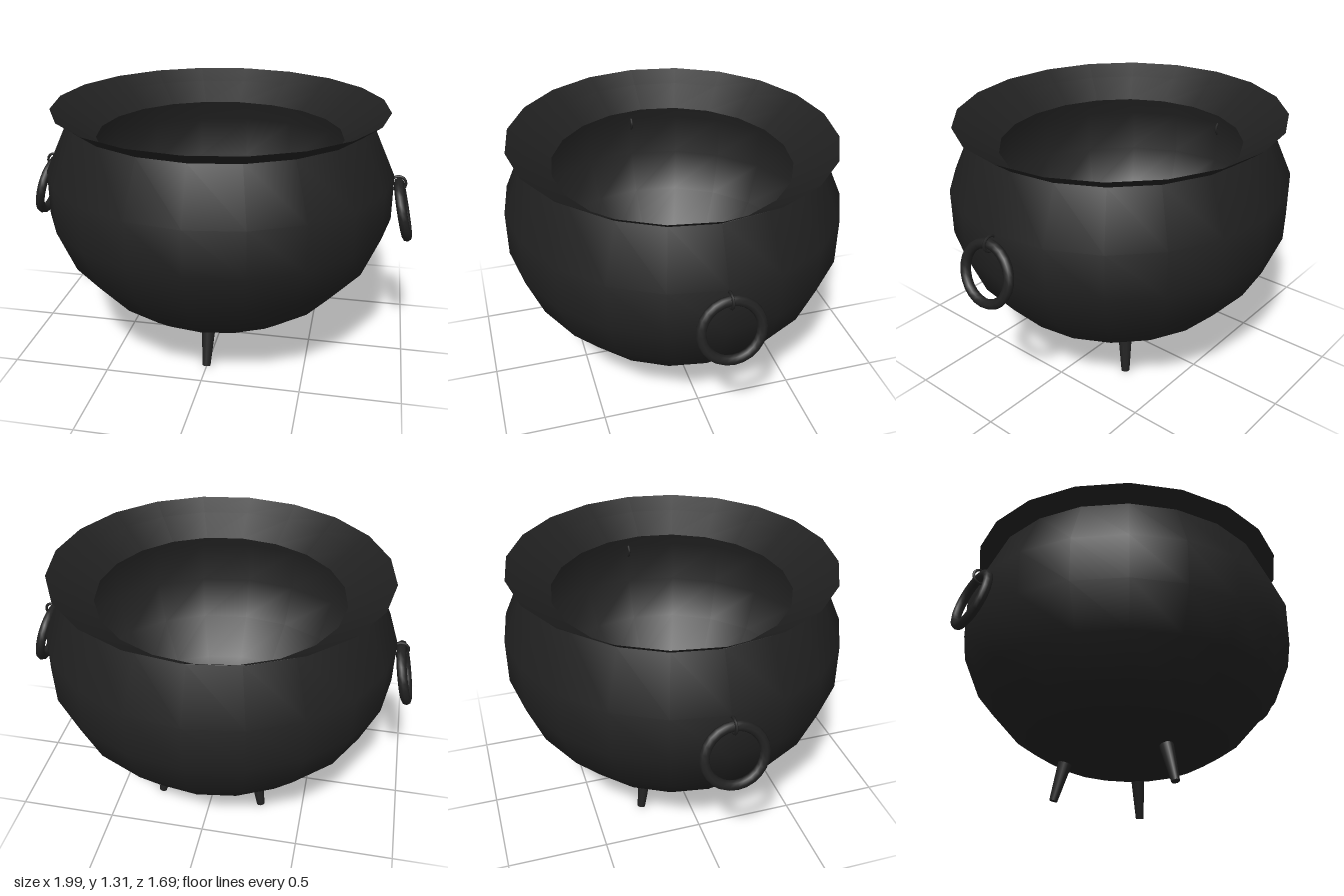
import * as THREE from 'three';

const iron = new THREE.MeshStandardMaterial({ color: 0x212121, side: THREE.DoubleSide });
iron.name = 'black iron';

const SIDES = 20;
const WIDEN = 1.045; // the pot is slightly wider than deep

function add(parent, name, geometry) {
  const mesh = new THREE.Mesh(geometry, iron);
  mesh.name = name;
  parent.add(mesh);
  return mesh;
}

// Revolved shell from [radius, height] pairs
function shell(parent, name, profile) {
  const points = profile.map(([r, y]) => new THREE.Vector2(r, y));
  add(parent, name, new THREE.LatheGeometry(points, SIDES)).scale.x = WIDEN;
}

// Tapered leg between a foot point and a point on the belly
function leg(parent, name, foot, top) {
  const a = new THREE.Vector3(...foot);
  const b = new THREE.Vector3(...top);
  const dir = b.clone().sub(a);
  const mesh = add(parent, name, new THREE.CylinderGeometry(0.036, 0.021, dir.length(), 10));
  mesh.position.copy(a).add(b).multiplyScalar(0.5);
  mesh.quaternion.setFromUnitVectors(new THREE.Vector3(0, 1, 0), dir.normalize());
}

// Hanging ring threaded through a small wire eye
function handle(side) {
  const group = new THREE.Group();
  group.name = side > 0 ? 'leftHandle' : 'rightHandle';

  const ring = add(group, 'ring', new THREE.TorusGeometry(0.14, 0.024, 8, 24));
  ring.position.set(side * 0.94, 0.815, 0);
  ring.rotation.set(0, Math.PI / 2, side * 0.24, 'ZYX');

  const eye = add(group, 'eye', new THREE.TorusGeometry(0.037, 0.007, 6, 14));
  eye.position.set(side * 0.905, 0.954, 0);
  return group;
}

export function createModel() {
  const model = new THREE.Group();
  model.name = 'cauldron';

  // Belly, open at the neck
  shell(model, 'belly', [
    [0, 0.143], [0.385, 0.22], [0.5, 0.285], [0.6, 0.358], [0.76, 0.545],
    [0.845, 0.76], [0.845, 0.99], [0.73, 1.25],
  ]);

  // Flared rim that continues inward as a funnel
  shell(model, 'rim', [[0.6, 1.16], [0.73, 1.252], [0.808, 1.31]]);

  // Three splayed legs, one in front and two behind
  leg(model, 'frontLeg', [0, 0.005, 0.365], [0, 0.2, 0.305]);
  for (const s of [1, -1]) {
    leg(model, s > 0 ? 'backLeftLeg' : 'backRightLeg', [s * 0.277, 0.005, -0.255], [s * 0.238, 0.2, -0.22]);
    model.add(handle(s));
  }

  return model;
}
